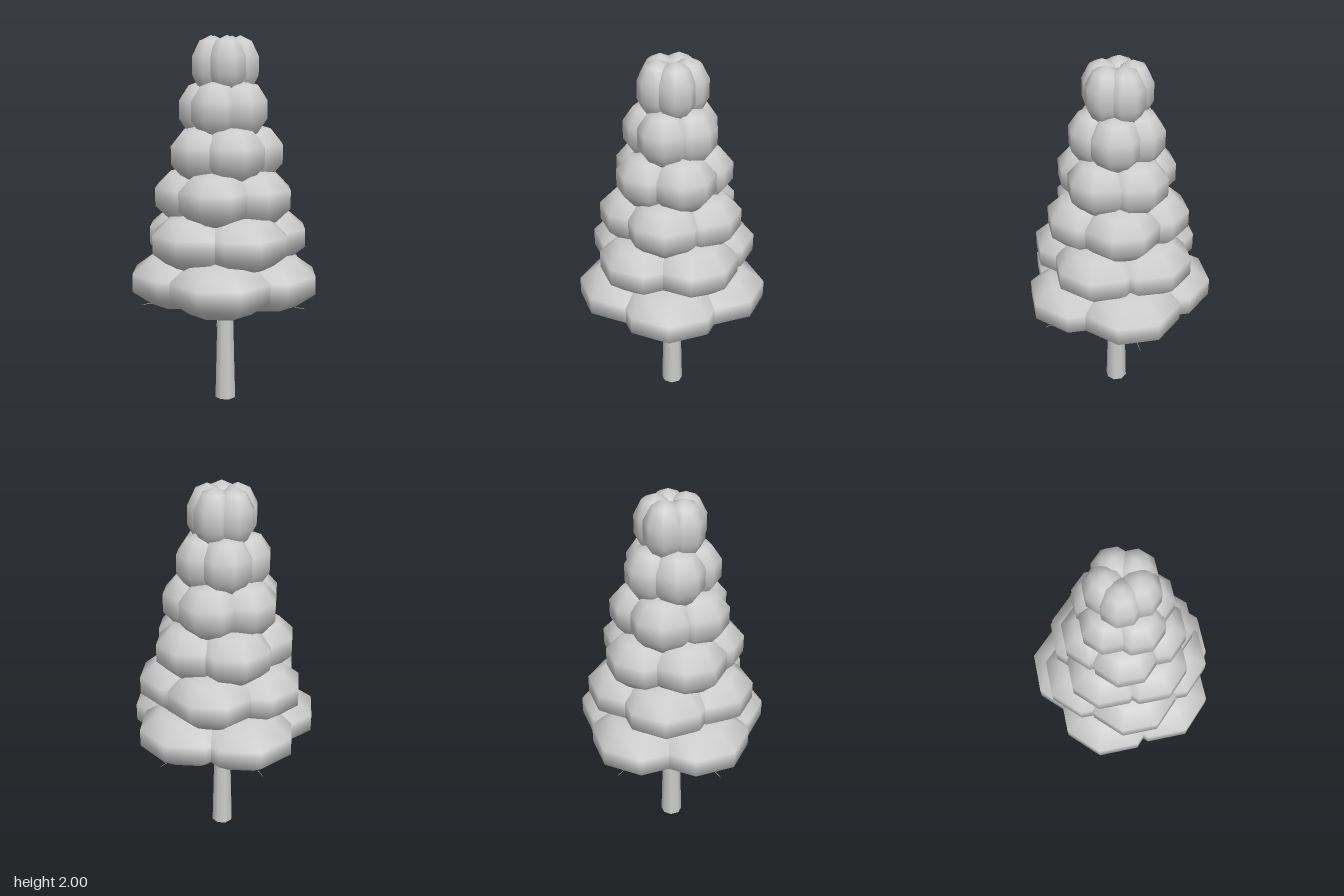
import * as THREE from 'three';

const AXIS_X = -0.025; // the five-fold crown is off centre by this much
const TIERS = 6, BLOBS = 5;
const TWIST = THREE.MathUtils.degToRad(31.5);

export function createModel() {
  const tree = new THREE.Group();
  tree.name = 'tree';
  const grey = new THREE.MeshStandardMaterial({ color: 0xcccccc });
  grey.name = 'light grey';

  // Tapered trunk, running up inside the crown
  const trunk = new THREE.Mesh(new THREE.CylinderGeometry(0.035, 0.06, 0.95, 8), grey);
  trunk.name = 'trunk';
  trunk.position.set(AXIS_X, 0.475, 0);
  tree.add(trunk);

  // Crown: twisted rings of squashed low-poly spheres
  const blob = new THREE.SphereGeometry(1, 8, 5);
  for (let i = 0; i < TIERS; i++) {
    const tier = new THREE.Group();
    tier.name = `foliageTier${i + 1}`;
    tier.position.set(AXIS_X, 0.705 + i * 0.228, 0);
    const ring = 0.24 - i * 0.032;
    const radius = (0.28 - i * 0.035) / Math.sin(Math.PI * 0.4);
    for (let k = 0; k < BLOBS; k++) {
      const a = i * TWIST + (k * 2 * Math.PI) / BLOBS;
      const clump = new THREE.Mesh(blob, grey);
      clump.name = 'foliageClump';
      clump.position.set(ring * Math.cos(a), 0, -ring * Math.sin(a));
      clump.scale.set(radius, 0.155, radius);
      tier.add(clump);
    }
    tree.add(tier);
  }

  // Thin branches whose tips show beneath the lowest tier
  const up = new THREE.Vector3(0, 1, 0);
  for (let k = 0; k < BLOBS; k++) {
    const a = (k * 2 * Math.PI) / BLOBS;
    const start = new THREE.Vector3(AXIS_X + 0.03 * Math.cos(a), 0.602, -0.03 * Math.sin(a));
    const end = new THREE.Vector3(AXIS_X + 0.465 * Math.cos(a), 0.57, -0.465 * Math.sin(a));
    const dir = end.clone().sub(start);
    const branch = new THREE.Mesh(new THREE.CylinderGeometry(0.001, 0.005, dir.length(), 5), grey);
    branch.name = 'branch';
    branch.position.copy(start).add(end).multiplyScalar(0.5);
    branch.quaternion.setFromUnitVectors(up, dir.normalize());
    tree.add(branch);
  }
  return tree;
}
